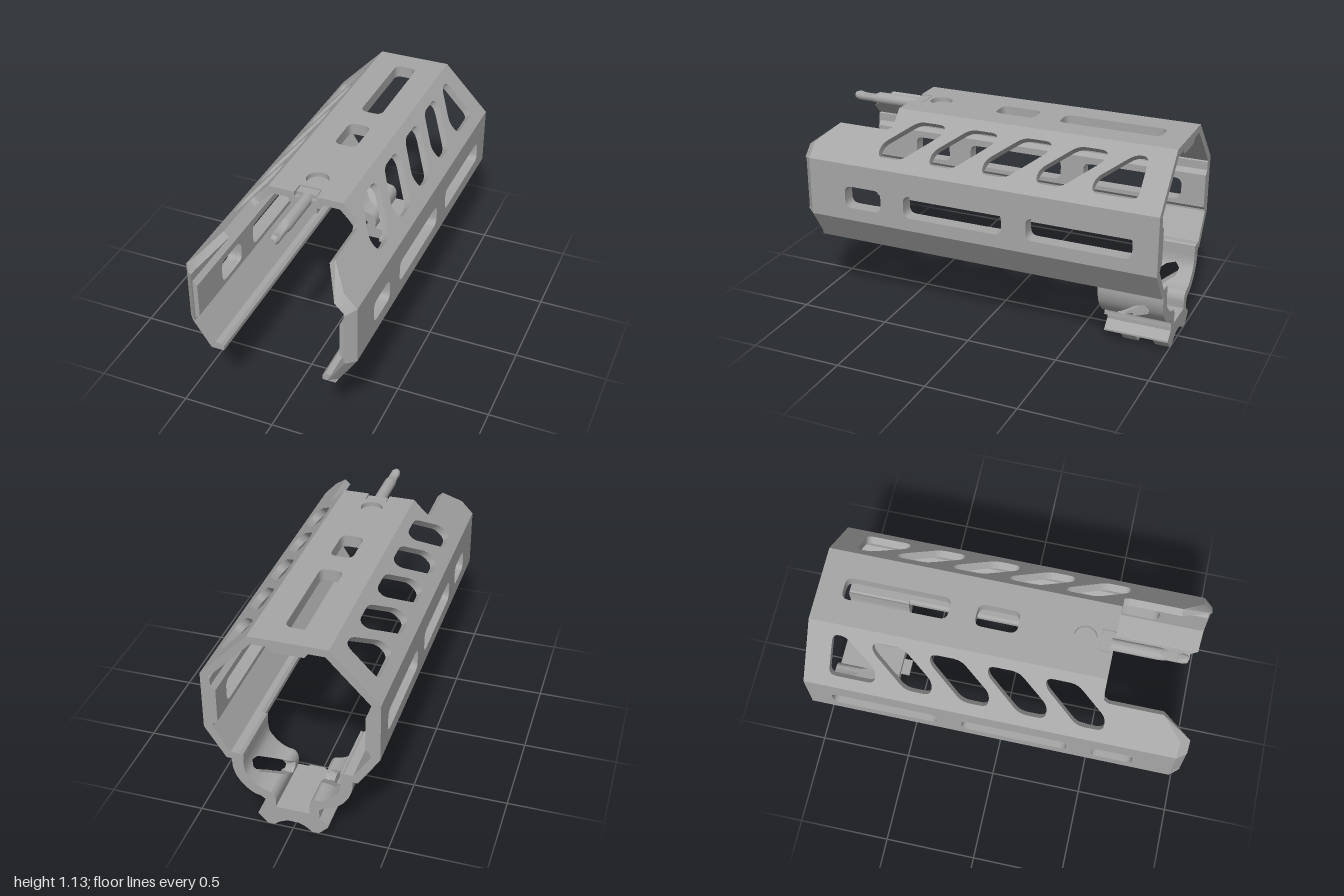
import * as THREE from 'three';
import { toCreasedNormals } from 'three/addons/utils/BufferGeometryUtils.js';

const V2 = (p) => new THREE.Vector2(p[0], p[1]);

// Piecewise linear lookup in [[key, value], ...]
function lookup(table, k) {
  if (k <= table[0][0]) return table[0][1];
  for (let i = 1; i < table.length; i++) {
    const [k0, v0] = table[i - 1], [k1, v1] = table[i];
    if (k <= k1) return v0 + (v1 - v0) * (k - k0) / (k1 - k0);
  }
  return table[table.length - 1][1];
}

// Closed path with rounded corners
function roundPath(points, r) {
  const path = new THREE.Path(), n = points.length;
  points.forEach((q, i) => {
    const p = V2(q), a = V2(points[(i + n - 1) % n]), b = V2(points[(i + 1) % n]);
    const s = a.sub(p), e = b.sub(p);
    s.setLength(Math.min(r, s.length() * 0.45)).add(p);
    e.setLength(Math.min(r, e.length() * 0.45)).add(p);
    if (i === 0) path.moveTo(s.x, s.y); else path.lineTo(s.x, s.y);
    path.quadraticCurveTo(p.x, p.y, e.x, e.y);
  });
  path.closePath();
  return path;
}

const rect = (v0, v1, z0, z1) => [[v0, z0], [v1, z0], [v1, z1], [v0, z1]];

// Flat wall from a to b in the xy section; outline and holes are given as [x or y, z]
function panel({ a, b, outline, holes = [], d0 = 0, d1, ma = 0, mb = 0, chamfer = 0 }) {
  const A = V2(a), dir = V2(b).sub(A), L = dir.length();
  dir.divideScalar(L);
  const k = Math.abs(dir.y) > 0.1 ? 1 : 0;
  const toU = ([v, z]) => [(v - a[k]) / (b[k] - a[k]) * L, z];
  const pts = outline.map(toU), us = pts.map((p) => p[0]);
  const lo = Math.min(...us), hi = Math.max(...us);
  const shape = new THREE.Shape(pts.map(V2));
  shape.holes = holes.map((h) => roundPath(h.map(toU), 0.04));
  const geo = new THREE.ExtrudeGeometry(shape, { depth: d1 - d0, bevelEnabled: false, curveSegments: 5 });
  const pos = geo.attributes.position;
  for (let i = 0; i < pos.count; i++) {
    let u = pos.getX(i), z = pos.getY(i);
    const d = pos.getZ(i);
    if (Math.abs(u - lo) < 1e-4) u += d * ma;
    else if (Math.abs(u - hi) < 1e-4) u -= d * mb;
    if (chamfer && d < 1e-4 && z > 0.99) z -= chamfer;
    const t = d + d0;
    pos.setXYZ(i, A.x + u * dir.x + t * dir.y, A.y + u * dir.y - t * dir.x, z);
  }
  return geo;
}

// Section in xy extruded between two z values
function bar(points, z0, z1) {
  const geo = new THREE.ExtrudeGeometry(new THREE.Shape(points.map(V2)), { depth: z1 - z0, bevelEnabled: false });
  return geo.translate(0, 0, z0);
}

function box(x0, x1, y0, y1, z0, z1) {
  return new THREE.BoxGeometry(x1 - x0, y1 - y0, z1 - z0).translate((x0 + x1) / 2, (y0 + y1) / 2, (z0 + z1) / 2);
}

// Mirror across x = 0 and restore the winding
function mirrored(geo) {
  const g = geo.index ? geo.toNonIndexed() : geo.clone(), p = g.attributes.position;
  for (let i = 0; i < p.count; i += 3) {
    const v = [0, 2, 1].map((j) => new THREE.Vector3().fromBufferAttribute(p, i + j));
    v.forEach((q, j) => p.setXYZ(i + j, -q.x, q.y, q.z));
  }
  return g;
}

// Curved clamp strap on one side of its slanted slot
function strap(front) {
  const outer = [[0.14, 0.115], [0.14, 0.15], [0.165, 0.172], [0.2, 0.182], [0.235, 0.205], [0.27, 0.24], [0.295, 0.28], [0.31, 0.33], [0.312, 0.385]];
  const inner = [[0.09, 0.115], [0.09, 0.18], [0.11, 0.21], [0.14, 0.217], [0.175, 0.232], [0.21, 0.262], [0.24, 0.3], [0.25, 0.34], [0.25, 0.42]];
  const curve = (l) => new THREE.CatmullRomCurve3(l.map(([x, y]) => new THREE.Vector3(x, y, 0)));
  const co = curve(outer), ci = curve(inner), N = 64, verts = [], index = [];
  const slot = front
    ? [[0.135, -0.74], [0.15, -0.705], [0.175, -0.7], [0.295, -0.85], [0.31, -0.9]]
    : [[0.135, -0.74], [0.25, -0.915], [0.285, -0.925], [0.31, -0.9]];
  for (let i = 0; i <= N; i++) {
    const o = co.getPoint(i / N), n = ci.getPoint(i / N);
    const zo = lookup(slot, o.y), zn = lookup(slot, n.y);
    const [o1, n1, n0, o0] = front ? [-0.65, -0.65, zn, zo] : [zo, zn, -1, -1];
    verts.push(o.x, o.y, o1, n.x, n.y, n1, n.x, n.y, n0, o.x, o.y, o0);
    if (i === N) break;
    for (let j = 0; j < 4; j++) {
      const p = i * 4 + j, q = i * 4 + (j + 1) % 4;
      index.push(p, p + 4, q + 4, p, q + 4, q);
    }
  }
  const e = N * 4;
  index.push(e + 3, e + 2, e + 1, e + 3, e + 1, e);
  const geo = new THREE.BufferGeometry();
  geo.setAttribute('position', new THREE.Float32BufferAttribute(verts, 3));
  geo.setIndex(index);
  return geo;
}

export function createModel() {
  const model = new THREE.Group();
  const metal = new THREE.MeshStandardMaterial({ color: 0xa6a6a6 });
  metal.name = 'greyMetal';
  const add = (name, geo) => {
    for (const key of Object.keys(geo.attributes)) if (key !== 'position') geo.deleteAttribute(key);
    const mesh = new THREE.Mesh(toCreasedNormals(geo, 0.5), metal);
    mesh.name = name;
    model.add(mesh);
  };
  const pair = (name, geo) => {
    const other = mirrored(geo);
    add(name + 'Left', geo);
    add(name + 'Right', other);
  };

  // Top wall with two slots, a round hole and a notch for the pin clip
  const topSlots = [rect(-0.06, 0.06, -0.87, -0.32), rect(-0.06, 0.06, -0.18, 0.04)];
  const ring = Array.from({ length: 16 }, (_, i) => {
    const t = i / 16 * Math.PI * 2;
    return [0.06 * Math.cos(t), 0.38 + 0.06 * Math.sin(t)];
  });
  const top = { a: [-0.2, 1.13], b: [0.2, 1.13] };
  add('topWall', panel({ ...top, d1: 0.04, ma: 0.42, mb: 0.42, holes: [...topSlots, ring],
    outline: [[-0.2, -1], [0.2, -1], [0.2, 0.53], [0.06, 0.53], [0.06, 0.46], [-0.06, 0.46], [-0.06, 0.53], [-0.2, 0.53]] }));
  add('topRib', panel({ ...top, d0: 0.04, d1: 0.065, ma: 0.8, mb: 0.8, holes: topSlots, outline: rect(-0.1, 0.1, -1, 0.53) }));

  // Upper slanted walls with a row of raked windows
  const windows = [0, 1, 2, 3].map((i) => [[0.92, 0.56], [0.92, 0.425], [1.05, 0.235], [1.087, 0.235], [1.087, 0.39], [0.975, 0.56]]
    .map(([y, z]) => [y, z - i * 0.298]));
  windows.push([[0.92, -0.63], [0.92, -0.87], [1.087, -0.87], [1.087, -0.8], [0.975, -0.63]]);
  pair('upperWall', panel({ a: [0.2, 1.13], b: [0.45, 0.87], d1: 0.04, ma: 0.42, mb: 0.4, chamfer: 0.05, holes: windows,
    outline: [[1.13, -1], [0.87, -1], [0.87, 1], [0.94, 1], [1.035, 0.84], [1.035, 0.56], [1.045, 0.535], [1.07, 0.53], [1.13, 0.53]] }));

  // Side walls with three slots and an inner rib
  const sideSlots = [[0.525, 0.74], [-0.17, 0.39], [-0.87, -0.305]].map(([z0, z1]) => rect(0.745, 0.622, z0, z1));
  const side = { a: [0.45, 0.87], b: [0.45, 0.55], holes: sideSlots };
  pair('sideWall', panel({ ...side, d1: 0.05, ma: 0.4, mb: 0.296, chamfer: 0.05, outline: rect(0.87, 0.55, -1, 1) }));
  pair('sideRib', panel({ ...side, d0: 0.05, d1: 0.075, ma: 0.9, mb: 0.9, outline: rect(0.805, 0.575, -1, 0.99) }));

  // Lower slanted walls and their inward lips
  pair('lowerWall', panel({ a: [0.45, 0.55], b: [0.34, 0.38], d1: 0.042, ma: 0.296, chamfer: 0.05,
    outline: [[0.55, -1], [0.38, -1], [0.38, 0.96], [0.4, 1], [0.55, 1]] }));
  pair('lowerLip', bar([[0.34, 0.38], [0.345, 0.42], [0.335, 0.44], [0.315, 0.42], [0.285, 0.42], [0.27, 0.405], [0.27, 0.38]], -1, 0.96));

  // Rear clamp: curved straps with slanted slots and hooked ends
  pair('clampStrapFront', strap(true));
  pair('clampStrapRear', strap(false));
  pair('clampHook', bar([[0.31, 0.378], [0.32, 0.42], [0.27, 0.421], [0.25, 0.405], [0.25, 0.378]], -1, -0.65));

  // Accessory rail under the clamp with two teeth and a front tab
  const half = [[0.14, 0.12], [0.14, 0.1], [0.185, 0.06], [0.185, 0.05]];
  const mirrorPts = (pts) => [...pts, ...pts.map(([x, y]) => [-x, y]).reverse()];
  add('railBase', bar(mirrorPts(half), -1, -0.65));
  const tooth = mirrorPts([[0.185, 0.06], [0.185, 0.05], [0.135, 0], [0.1, 0], [0.08, 0.018], [0.055, 0.033], [0.025, 0.043]]);
  for (const z of [-1, -0.825]) add('railTooth', bar(tooth, z, z + 0.082));
  add('railTab', box(-0.045, 0.045, 0.066, 0.086, -0.65, -0.6));

  // Boss, clip and long pin at the front of the top wall
  add('pinBoss', box(-0.06, 0.06, 1.03, 1.105, 0.29, 0.53));
  add('pinClip', box(-0.055, 0.055, 1.1, 1.127, 0.467, 0.515));
  const profile = [[0, 0.47], [0.032, 0.47], [0.032, 0.72], [0.032, 0.76], [0.026, 0.8], [0.026, 0.85], [0.026, 0.88], [0.018, 0.905], [0, 0.905]];
  const pin = new THREE.LatheGeometry(profile.map(V2), 24).rotateX(Math.PI / 2);
  const p = pin.attributes.position;
  for (let i = 0; i < p.count; i++) {
    const cap = lookup([[0.76, 0.032], [0.8, 0.012], [0.85, 0.012], [0.88, 0.026]], p.getZ(i));
    p.setY(i, Math.min(p.getY(i), cap));
  }
  add('pin', pin.translate(0, 1.096, 0));

  return model;
}
